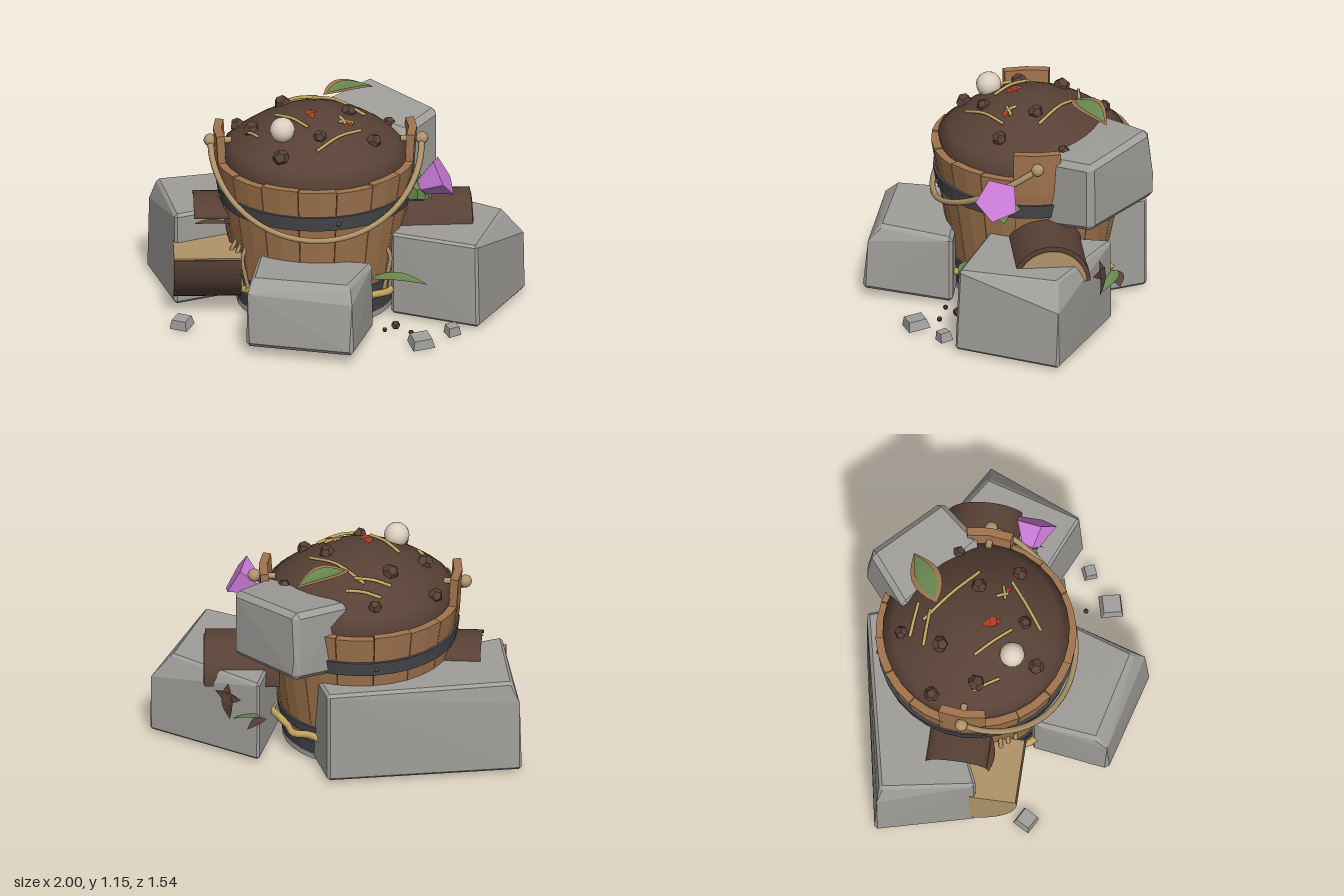
import * as THREE from 'three';
import { ConvexGeometry } from 'three/addons/geometries/ConvexGeometry.js';

const CX = -0.12, CZ = -0.14;
const V = (x, y, z) => new THREE.Vector3(x, y, z);
const radius = y => 0.4 + y * 0.16;
const soilHeight = r => 1.11 - 0.9 * r * r;
const soilPoint = (x, z, lift = 0) => V(x, soilHeight(Math.hypot(x - CX, z - CZ)) + lift, z);

export function createModel() {
  const group = new THREE.Group();
  const mat = (name, color, open) => {
    const m = new THREE.MeshStandardMaterial({ color });
    m.name = name;
    if (open) m.side = THREE.DoubleSide;
    return m;
  };
  const stone = mat('stone', 0xa09e9a), wood = mat('wood', 0xa2754e, true), soil = mat('soilBrown', 0x584136, true),
    iron = mat('iron', 0x47484d), straw = mat('straw', 0xc8ab62), tan = mat('tan', 0xb0946a),
    purple = mat('purple', 0xca7cd8), green = mat('green', 0x698850, true),
    cream = mat('cream', 0xdccfbd), red = mat('red', 0xb03c22, true);

  const add = (name, geo, material, pos) => {
    const m = new THREE.Mesh(geo, material);
    m.name = name;
    if (pos) m.position.copy(pos);
    group.add(m);
    return m;
  };
  const flat = geo => {
    const g = geo.index ? geo.toNonIndexed() : geo;
    g.computeVertexNormals();
    return g;
  };
  const tube = (name, pts, r, material, n = 24) =>
    add(name, new THREE.TubeGeometry(new THREE.CatmullRomCurve3(pts), n, r, 6), material);

  // Boulder: four corners [x, z, bottom, top, topX, topZ] with chamfered edges, plus points for worn shoulders
  const boulder = (name, b, corners, shoulders = []) => {
    const P = [corners.map(([x, z, y]) => V(x, y, z)), corners.map(([x, z, , y, tx = x, tz = z]) => V(tx, y, tz))];
    const pts = shoulders.map(s => V(...s));
    for (let k = 0; k < 2; k++) for (let i = 0; i < 4; i++) {
      const p = P[k][i];
      const d = [P[k][(i + 1) % 4], P[k][(i + 3) % 4], P[1 - k][i]].map(q => q.clone().sub(p).normalize().multiplyScalar(b));
      for (let j = 0; j < 3; j++) pts.push(p.clone().add(d[j]).add(d[(j + 1) % 3]));
    }
    add(name, new ConvexGeometry(pts), stone);
  };
  boulder('frontBoulder', 0.02,
    [[-0.51, 0.63, 0.06, 0.43, -0.48, 0.57], [0.06, 0.78, 0.06, 0.43, 0.04, 0.69], [0.18, 0.3, 0.02, 0.4], [-0.43, 0.2, 0.02, 0.41]],
    [[-0.5, 0.36, 0.62], [0.055, 0.34, 0.745]]);
  boulder('rightBoulder', 0.014,
    [[1.01, -0.22, 0.02, 0.48, 0.89, -0.22], [0.74, 0.32, 0.02, 0.485, 0.735, 0.3], [0.28, 0.11, 0.02, 0.485], [0.4, -0.54, 0.02, 0.48]],
    [[0.995, 0.34, -0.22]]);
  boulder('backBoulder', 0.016,
    [[-1.01, -0.56, 0.02, 0.54, -0.96, -0.54], [0.02, -0.75, 0.02, 0.54], [0.12, -0.46, 0.02, 0.53], [-0.87, -0.03, 0.02, 0.54]],
    [[-0.995, 0.42, -0.55]]);
  boulder('upperBoulder', 0.03,
    [[0.19, -0.79, 0.64, 1.03, 0.19, -0.76], [0.55, -0.42, 0.6, 0.985], [0.36, -0.18, 0.55, 0.95], [-0.09, -0.53, 0.58, 0.99]],
    [[0.2, 0.77, -0.77]]);

  // Staves: boxes bent around the bucket, two raised as handle ears
  const N = 16;
  for (let i = 0; i < N; i++) {
    const ear = i % (N / 2) === 0;
    const geo = new THREE.BoxGeometry(1, 1, 1, 2, 4, 1), p = geo.attributes.position;
    const span = (Math.PI * 2 / N) * (ear ? 1.2 : 0.985);
    const top = ear ? 1.0 : 0.845 + 0.006 * (i % 3 - 1);
    for (let k = 0; k < p.count; k++) {
      const y = 0.04 + (p.getY(k) + 0.5) * (top - 0.04);
      const a = i * Math.PI * 2 / N - p.getX(k) * span;
      const r = radius(Math.min(y, 0.85)) + p.getZ(k) * 0.045 - 0.02 + (ear ? 0.006 : 0);
      p.setXYZ(k, CX + Math.cos(a) * r, y, CZ + Math.sin(a) * r);
    }
    add(ear ? 'earStave' : 'stave', flat(geo), wood);
  }

  // Iron bands and rivets
  const band = (name, y0, y1, out) => {
    const pts = [[radius(y0) - 0.02, y0], [radius(y0) + out, y0], [radius(y1) + out, y1], [radius(y1) - 0.02, y1]];
    add(name, flat(new THREE.LatheGeometry(pts.map(p => new THREE.Vector2(...p)), 32)), iron, V(CX, 0, CZ));
  };
  band('upperBand', 0.615, 0.695, 0.017);
  band('lowerBand', 0.17, 0.22, 0.014);
  band('footBand', 0.04, 0.12, 0.012);
  for (let i = 0; i < 4; i++) {
    const a = i * Math.PI / 2 + 1.35, r = radius(0.655) + 0.017;
    add('rivet', new THREE.SphereGeometry(0.014, 8, 6), iron, V(CX + Math.cos(a) * r, 0.655, CZ + Math.sin(a) * r));
  }

  // Base plate with a seam and a tan patch underneath
  add('basePlate', new THREE.CylinderGeometry(0.42, 0.42, 0.03, 32), stone, V(CX, 0.03, CZ));
  add('basePatch', new THREE.CylinderGeometry(0.2, 0.2, 0.006, 24), tan, V(CX, 0.013, CZ));
  const seam = add('baseSeam', new THREE.TorusGeometry(0.385, 0.004, 4, 48), wood, V(CX, 0.014, CZ));
  seam.rotation.x = Math.PI / 2;

  // Heaped soil with its lining
  const profile = [[0.39, 0.06], [0.485, 0.8]];
  for (let i = 0; i <= 10; i++) profile.push([0.5 * (1 - i / 10), soilHeight(0.5 * (1 - i / 10))]);
  add('soilHeap', new THREE.LatheGeometry(profile.map(p => new THREE.Vector2(...p)), 32), soil, V(CX, 0, CZ));
  const lumps = [[-0.22, -0.53], [-0.53, -0.32], [-0.29, -0.31], [0.28, -0.29], [0.06, -0.15], [-0.46, -0.09], [-0.1, 0.12], [0.19, 0.05], [-0.31, 0.21]];
  lumps.forEach(([x, z], i) => {
    const m = add('soilLump', new THREE.DodecahedronGeometry(0.036 + (i % 3) * 0.005), soil, soilPoint(x, z, 0.006));
    m.rotation.set(i, i * 2, 0);
  });

  // Swinging handle, pegs and knobs
  const arc = [];
  for (let i = 0; i <= 16; i++) {
    const t = Math.PI * i / 16, s = Math.sin(t);
    arc.push(V(-0.115 - 0.565 * Math.cos(t), 0.93 - 0.365 * s, CZ + 0.53 * s));
  }
  tube('handle', arc, 0.017, tan, 48);
  for (const s of [-1, 1]) {
    add('handleKnob', new THREE.SphereGeometry(0.035, 12, 8), tan, V(-0.115 + s * 0.565, 0.93, CZ));
    const peg = add('handlePeg', new THREE.CylinderGeometry(0.018, 0.018, 0.12, 8), tan, V(-0.115 + s * 0.51, 0.93, CZ));
    peg.rotation.z = Math.PI / 2;
  }

  // Frayed straw rope at the foot and dangling rope strands
  const ring = [];
  for (let i = 0; i < 32; i++) {
    const a = i * Math.PI / 16, r = 0.462 + 0.018 * Math.sin(i * 2.3);
    ring.push(V(CX + r * Math.cos(a), 0.165 + 0.008 * Math.sin(i * 1.7), CZ + r * Math.sin(a)));
  }
  add('footRope', new THREE.TubeGeometry(new THREE.CatmullRomCurve3(ring, true), 96, 0.02, 6, true), straw);
  for (const s of [-1, 1]) for (let i = 0; i < 3; i++) {
    const x = CX + s * (0.44 - i * 0.03), z = 0.05 + i * 0.035;
    tube('ropeStrand', [V(x - s * 0.02, 0.44, z), V(x + s * 0.015, 0.36, z + 0.01), V(x, 0.26, z + 0.01), V(x - s * 0.02, 0.16, z)], 0.012, tan, 12);
  }

  // Split logs
  const splitLog = (name, r, length, a0, pos, capMat, yaw) => {
    const s = new THREE.Shape();
    s.absarc(0, 0, r, a0, a0 + Math.PI, false);
    const m = add(name, new THREE.ExtrudeGeometry(s, { depth: length, bevelEnabled: false, curveSegments: 12 }), [capMat, soil], pos);
    m.rotation.y = Math.PI / 2 + yaw;
  };
  splitLog('rightLog', 0.21, 0.4, 0, V(0.31, 0.39, -0.18), soil, 0.05);
  splitLog('rightLogEnd', 0.185, 0.406, 0, V(0.31, 0.39, -0.18), tan, 0.05);
  splitLog('leftLog', 0.31, 0.36, Math.PI, V(-0.88, 0.37, -0.12), tan, 0);
  add('leftLogCut', new THREE.BoxGeometry(0.36, 0.008, 0.6), tan, V(-0.7, 0.374, -0.12));
  // Loose curl of bark
  const curl = add('barkCurl', new THREE.CylinderGeometry(0.165, 0.165, 0.24, 12, 1, true, 0, Math.PI), soil, V(-0.65, 0.535, -0.155));
  curl.rotation.z = Math.PI / 2;
  curl.scale.x = 0.4;

  // Folded leaf running between two points
  const leaf = (name, a, b, width, material, up = V(0, 1, 0), lift = 0) => {
    const L = a.distanceTo(b), geo = new THREE.PlaneGeometry(L, width, 8, 2), p = geo.attributes.position;
    for (let k = 0; k < p.count; k++) {
      const t = THREE.MathUtils.clamp(p.getX(k) / L + 0.5, 0, 1);
      const y = p.getY(k) * (0.02 + 0.98 * Math.sin(Math.PI * Math.pow(t, 0.85)));
      p.setXYZ(k, p.getX(k), y, Math.abs(y) * 0.3 + 0.05 * L * Math.sin(Math.PI * t) + lift);
    }
    geo.computeVertexNormals();
    const X = b.clone().sub(a).normalize(), Y = up.clone().cross(X).normalize(), Z = X.clone().cross(Y);
    const m = add(name, geo, material, a.clone().add(b).multiplyScalar(0.5));
    m.setRotationFromMatrix(new THREE.Matrix4().makeBasis(X, Y, Z));
  };
  leaf('topLeafRim', V(-0.07, 1.09, -0.36), V(0.2, 1.065, -0.52), 0.16, wood);
  leaf('topLeaf', V(-0.05, 1.09, -0.372), V(0.19, 1.067, -0.514), 0.11, green, V(0, 1, 0), 0.008);
  leaf('lowLeaf', V(0.16, 0.26, 0.2), V(0.47, 0.245, 0.25), 0.11, green);
  leaf('backLeaf', V(0.4, 0.3, -0.57), V(0.54, 0.24, -0.48), 0.09, green);
  // Dry scraps lying against the back of the right boulder and under the bark curl
  const out = V(0.47, 0, -0.88);
  leaf('dryLeaf', V(0.57, 0.44, -0.462), V(0.56, 0.23, -0.467), 0.07, soil, out);
  leaf('dryLeaf', V(0.5, 0.36, -0.498), V(0.64, 0.38, -0.426), 0.06, soil, out);
  leaf('dryLeaf', V(0.36, 0.28, -0.55), V(0.46, 0.23, -0.58), 0.08, soil);
  leaf('barkSplinter', V(-0.77, 0.51, 0.02), V(-0.55, 0.495, 0), 0.06, soil);
  leaf('redPetal', soilPoint(-0.17, -0.1, 0.014), soilPoint(-0.13, 0, 0.014), 0.05, red);
  leaf('redPetal', soilPoint(-0.17, -0.03, 0.022), soilPoint(-0.11, -0.06, 0.022), 0.04, red);
  leaf('redPetal', soilPoint(0.04, 0.0, 0.018), soilPoint(0.08, 0.02, 0.018), 0.03, red);

  // Straw on the soil
  const stalks = [[-0.25, -0.48, -0.06, -0.46], [-0.3, -0.4, -0.1, -0.39], [-0.16, -0.42, 0.15, -0.16], [-0.33, -0.12, -0.16, 0.06],
    [-0.12, 0.21, 0.12, 0.02], [0, 0, 0.08, -0.02], [0.01, -0.05, 0.04, 0.01], [-0.5, -0.1, -0.42, 0.03]];
  for (const [x0, z0, x1, z1] of stalks)
    tube('strawStalk', [soilPoint(x0, z0, 0.01), soilPoint((x0 + x1) / 2, (z0 + z1) / 2, 0.015), soilPoint(x1, z1, 0.012)], 0.009, straw, 8);

  // Pale puffball
  add('puffball', new THREE.SphereGeometry(0.068, 14, 10), cream, V(-0.3, 1.08, 0.08));

  // Five-sided flower with leafy calyx
  const axis = V(0.86, 0.48, 0.08).normalize();
  const turn = new THREE.Quaternion().setFromUnitVectors(V(0, 1, 0), axis);
  const cup = add('flowerCup', flat(new THREE.CylinderGeometry(0.118, 0.045, 0.14, 5)), purple, V(0.5, 0.775, 0.075));
  cup.quaternion.copy(turn);
  const calyx = V(0.42, 0.71, 0.045);
  add('calyx', new THREE.DodecahedronGeometry(0.073), green, calyx);
  for (let i = 0; i < 5; i++) {
    const a = i * Math.PI * 0.4;
    const tip = V(0.105 * Math.cos(a), 0.02, 0.105 * Math.sin(a)).applyQuaternion(turn).add(calyx);
    leaf('calyxLeaf', calyx, tip, 0.07, green, axis, 0.02);
  }

  // Ground chips and crumbs
  const chips = [[-0.84, 0.235, 0.07, 0.3], [0.43, 0.51, 0.085, 1.05], [0.6, 0.37, 0.05, 1.2]];
  for (const [x, z, r, yaw] of chips) {
    const m = add('stoneChip', flat(new THREE.CylinderGeometry(r * 0.8, r, 0.05, 4)), stone, V(x, 0.036, z));
    m.rotation.set(0.08, yaw, 0.06);
  }
  for (const [x, z, r] of [[0.3, 0.28, 0.025], [0.38, 0.38, 0.015], [0.24, 0.34, 0.014]])
    add('soilCrumb', new THREE.DodecahedronGeometry(r), soil, V(x, 0.025, z));

  return group;
}
